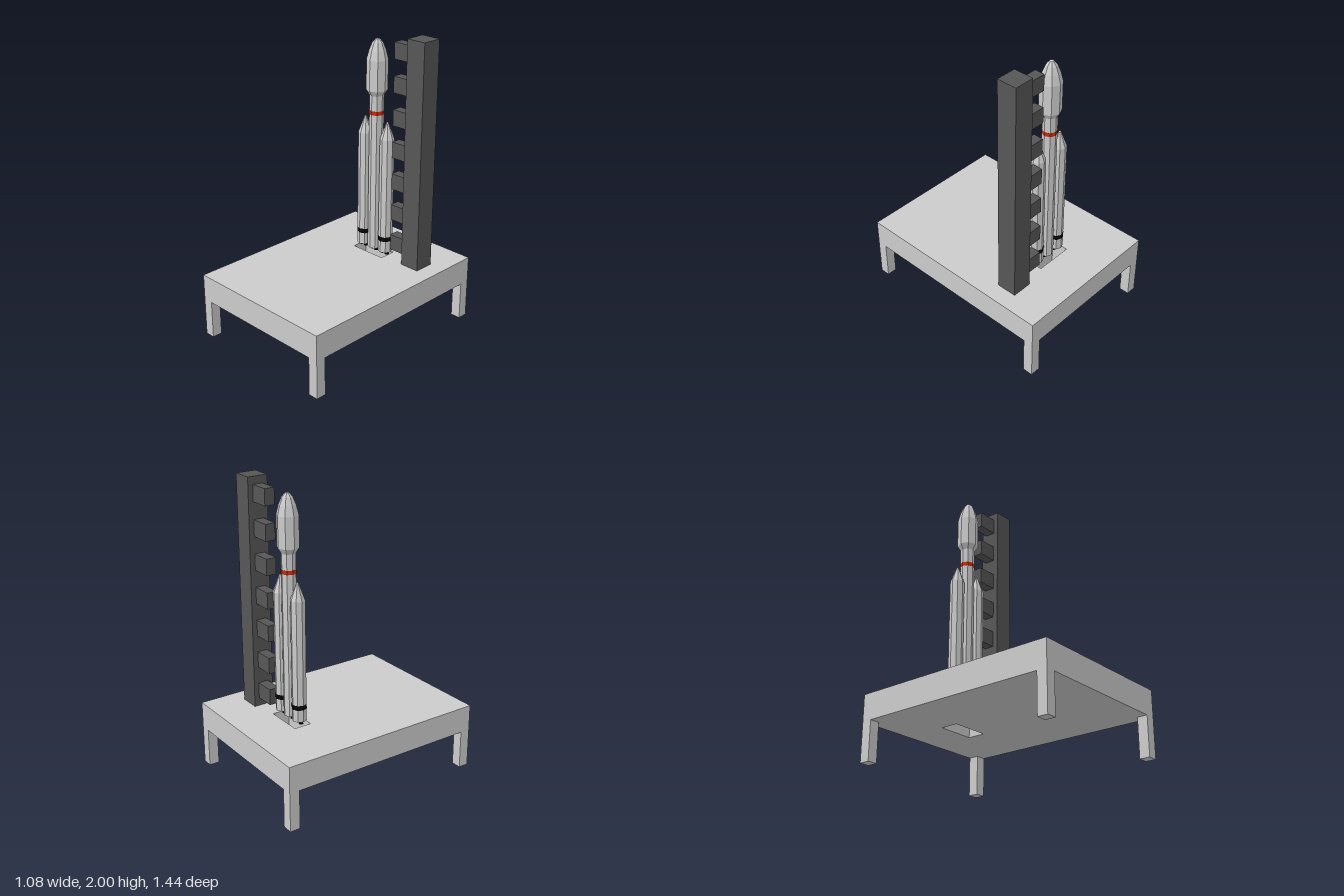
import * as THREE from 'three';

const paint = (color) => new THREE.MeshStandardMaterial({ color, flatShading: true });
const grey = paint(0xcccccc), dark = paint(0x565656), black = paint(0x080808), red = paint(0xcc2a0a);
const SIDES = 8;

function add(parent, name, geometry, material, x = 0, y = 0, z = 0) {
  const mesh = new THREE.Mesh(geometry, material);
  mesh.name = name;
  mesh.position.set(x, y, z);
  parent.add(mesh);
  return mesh;
}

function lathe(profile) {
  return new THREE.LatheGeometry(profile.map(([r, y]) => new THREE.Vector2(r, y)), SIDES);
}

function band(parent, name, radius, y0, y1, material) {
  const r = radius + 0.001;
  add(parent, name, new THREE.CylinderGeometry(r, r, y1 - y0, SIDES), material, 0, (y0 + y1) / 2);
}

// A pair of small flared engine bells
function nozzles(parent) {
  for (const x of [-0.019, 0.019]) {
    add(parent, 'nozzle', new THREE.CylinderGeometry(0.009, 0.016, 0.022, SIDES), black, x, 0.464);
  }
}

function makePlatform() {
  const platform = new THREE.Group();
  platform.name = 'platform';
  const W = 0.54, D = 0.72, H = 0.265, leg = 0.07;

  // Deck with the flame opening under the rocket
  const rect = (Type, x0, y0, x1, y1) => new Type([[x0, y0], [x1, y0], [x1, y1], [x0, y1]]
    .map(([x, y]) => new THREE.Vector2(x, y)));
  const outline = rect(THREE.Shape, -W, -D, W, D);
  outline.holes.push(rect(THREE.Path, -0.14, 0.297, 0.12, 0.418));
  const deck = new THREE.ExtrudeGeometry(outline, { depth: 0.18, bevelEnabled: false });
  deck.rotateX(-Math.PI / 2);
  add(platform, 'deck', deck, grey, 0, H, 0);

  // Corner legs
  for (const sx of [-1, 1]) for (const sz of [-1, 1]) {
    add(platform, 'leg', new THREE.BoxGeometry(leg, H, leg), grey,
      sx * (W - leg / 2), H / 2, sz * (D - leg / 2));
  }
  return platform;
}

function makeTower() {
  const tower = new THREE.Group();
  tower.name = 'serviceTower';
  add(tower, 'mast', new THREE.BoxGeometry(0.14, 1.555, 0.14), dark, 0.35, 1.2225, -0.39);
  // Access arms reaching towards the rocket
  for (let i = 0; i < 7; i++) {
    add(tower, 'accessArm', new THREE.BoxGeometry(0.137, 0.11, 0.07), dark,
      0.2125, 0.555 + i * 0.2232, -0.39);
  }
  return tower;
}

function makeRocket() {
  const rocket = new THREE.Group();
  rocket.name = 'rocket';
  rocket.position.z = -0.355;

  // Core stage
  add(rocket, 'core', lathe([[0, 0.475], [0.048, 0.475], [0.048, 1.575]]), grey);
  band(rocket, 'coreBand', 0.048, 1.44, 1.467, red);
  nozzles(rocket);

  // Payload fairing
  add(rocket, 'fairing', lathe([[0.048, 1.57], [0.071, 1.607], [0.071, 1.81],
    [0.055, 1.872], [0.036, 1.919], [0.014, 1.945], [0, 1.948]]), grey);

  // Side boosters
  for (const side of [-1, 1]) {
    const booster = new THREE.Group();
    booster.name = side > 0 ? 'leftBooster' : 'rightBooster';
    booster.position.x = side * 0.098;
    add(booster, 'boosterBody', lathe([[0, 0.475], [0.048, 0.475], [0.048, 1.292],
      [0.008, 1.4], [0, 1.407]]), grey);
    band(booster, 'boosterBand', 0.048, 0.558, 0.59, black);
    nozzles(booster);
    rocket.add(booster);
  }
  return rocket;
}

export function createModel() {
  const model = new THREE.Group();
  model.name = 'launchPad';
  model.add(makePlatform(), makeTower(), makeRocket());
  return model;
}
